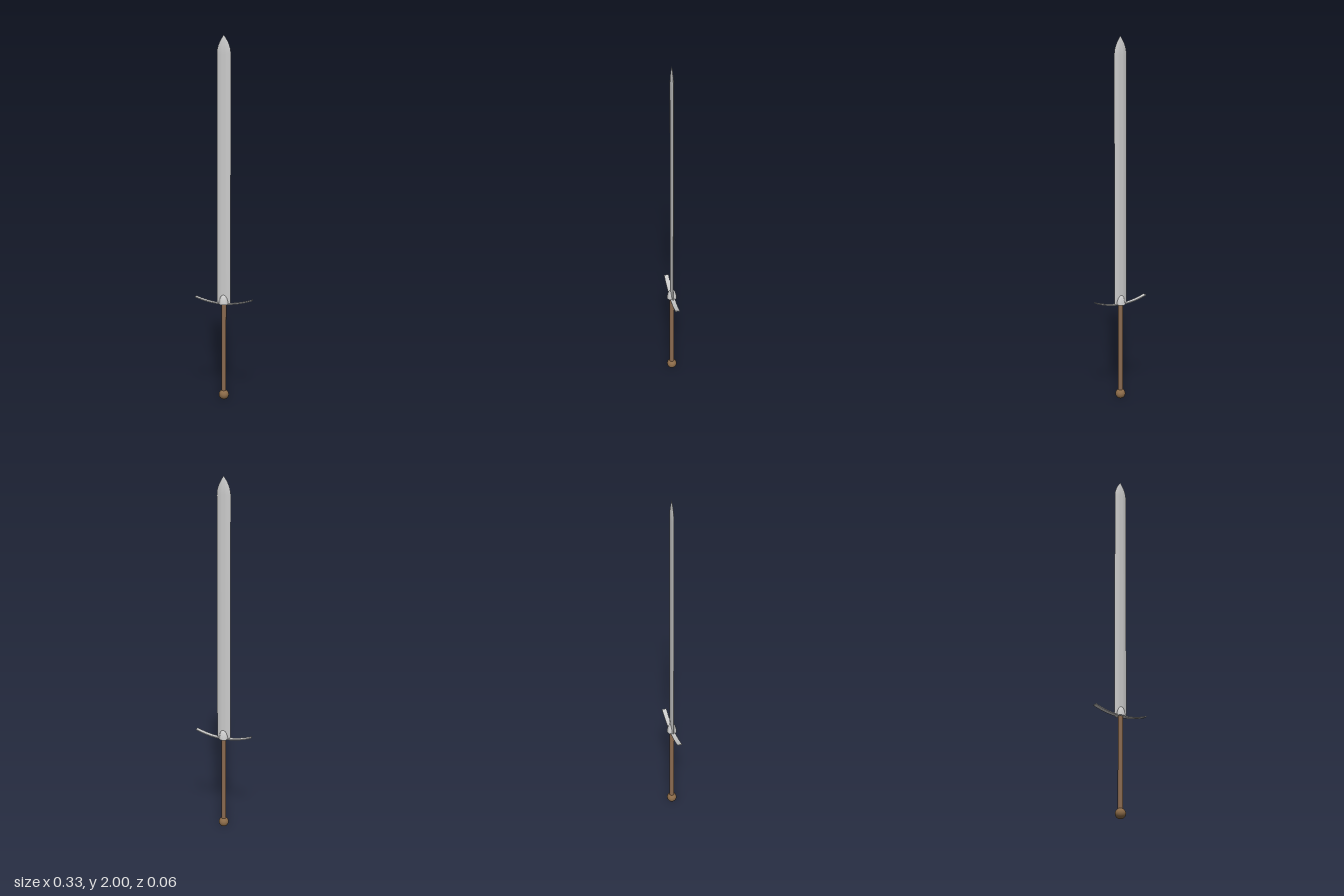
import * as THREE from 'three';
import { toCreasedNormals } from 'three/addons/utils/BufferGeometryUtils.js';

const GUARD_Y = 0.547, TIP_Y = 2, SHOULDER_Y = 1.9;

const steel = new THREE.MeshStandardMaterial({ color: 0xcccccc });
const leather = new THREE.MeshStandardMaterial({ color: 0x8a6a50 });
const bronze = new THREE.MeshStandardMaterial({ color: 0x8a6a48 });

function part(name, geometry, material, y = 0) {
  const mesh = new THREE.Mesh(geometry, material);
  mesh.name = name;
  mesh.position.y = y;
  return mesh;
}

// Lens-shaped sections stacked upwards, drawn in to a point at the tip
function bladeGeometry() {
  const halfWidth = 0.039, halfThick = 0.009, half = 10, ring = half * 2;
  const sections = [[GUARD_Y, 0], [GUARD_Y, 1]];
  for (let i = 0; i <= 12; i++) {
    const t = i / 12;
    sections.push([SHOULDER_Y + (TIP_Y - SHOULDER_Y) * t, 1 - t * t]);
  }
  const positions = [], index = [];
  for (const [y, s] of sections) {
    for (let j = 0; j < ring; j++) {
      const front = j < half;
      const u = front ? 1 - (2 * j) / half : -1 + (2 * (j - half)) / half;
      const z = halfThick * (1 - u * u) * (front ? 1 : -1);
      positions.push(halfWidth * u * s, y, z * s);
    }
  }
  for (let i = 0; i < sections.length - 1; i++) {
    for (let j = 0; j < ring; j++) {
      const a = i * ring + j, b = i * ring + ((j + 1) % ring);
      const c = a + ring, d = b + ring;
      // The loop runs clockwise seen from above
      if (sections[i][1] > 0) index.push(a, c, b);
      if (sections[i + 1][1] > 0) index.push(b, c, d);
    }
  }
  const geometry = new THREE.BufferGeometry();
  geometry.setAttribute('position', new THREE.Float32BufferAttribute(positions, 3));
  geometry.setIndex(index);
  return toCreasedNormals(geometry, 0.5);
}

// Thin upswept strip
function guardGeometry() {
  const reach = 0.163, rise = 0.03, thick = 0.005, depth = 0.026, n = 24;
  const points = [];
  for (let i = 0; i <= n; i++) {
    const u = (2 * i) / n - 1;
    points.push(new THREE.Vector2(u * reach, rise * u * u - thick / 2));
  }
  const upper = points.map((p) => new THREE.Vector2(p.x, p.y + thick)).reverse();
  const geometry = new THREE.ExtrudeGeometry(new THREE.Shape([...points, ...upper]), {
    depth, bevelEnabled: false,
  });
  geometry.translate(0, 0, -depth / 2);
  return toCreasedNormals(geometry, 0.5);
}

// Bullet-shaped collar at the foot of the blade
function collarGeometry() {
  const profile = [
    [0, 0], [0.028, 0], [0.0265, 0.012], [0.024, 0.024],
    [0.02, 0.036], [0.015, 0.046], [0.008, 0.053], [0, 0.056],
  ].map(([r, y]) => new THREE.Vector2(r, y));
  return toCreasedNormals(new THREE.LatheGeometry(profile, 32), 0.7);
}

export function createModel() {
  const sword = new THREE.Group();
  sword.name = 'sword';

  const gripBase = 0.04, gripLength = GUARD_Y - gripBase;
  sword.add(
    part('blade', bladeGeometry(), steel),
    part('crossGuard', guardGeometry(), steel, GUARD_Y),
    part('collar', collarGeometry(), steel, GUARD_Y - 0.002),
    part('grip', new THREE.CylinderGeometry(0.0135, 0.0135, gripLength, 32), leather, gripBase + gripLength / 2),
    part('pommel', new THREE.SphereGeometry(0.028, 32, 20), bronze, 0.028),
  );
  return sword;
}
